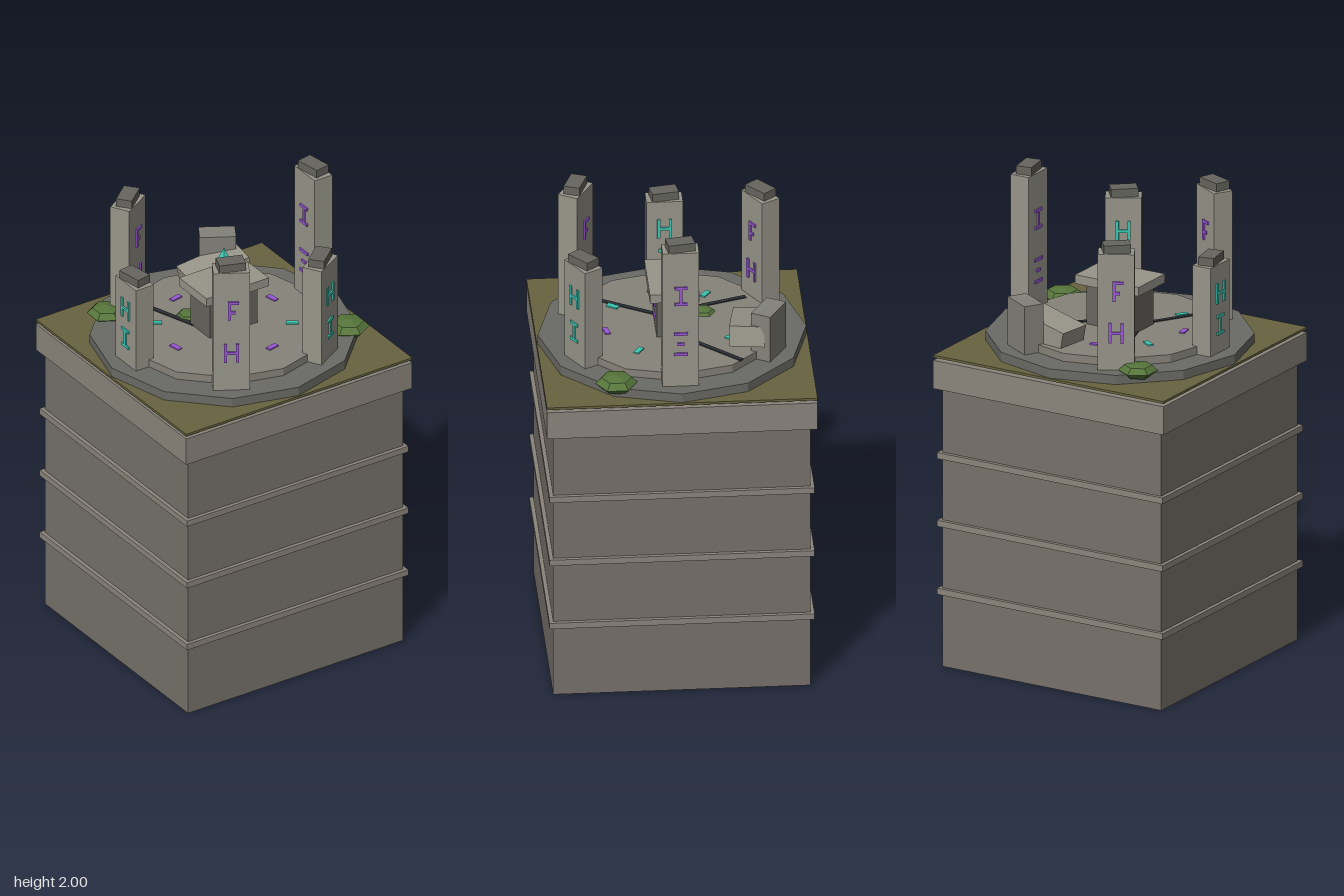
import * as THREE from 'three';

const mat = (color) => new THREE.MeshStandardMaterial({ color, flatShading: true });
const M = {
  wall: mat(0x77716a), trim: mat(0x8b857c), earth: mat(0x68633f), daisOuter: mat(0x6a6a66),
  daisInner: mat(0x87837a), stone: mat(0x98968a), darkStone: mat(0x66655e), stump: mat(0x83827a),
  crack: mat(0x2a2d33), teal: mat(0x3cc8b4), purple: mat(0x9a58d6), bush: mat(0x56753a),
};

function add(parent, name, geometry, material, x = 0, y = 0, z = 0) {
  const mesh = new THREE.Mesh(geometry, material);
  mesh.name = name;
  mesh.position.set(x, y, z);
  parent.add(mesh);
  return mesh;
}

// Box given by its width, depth and vertical range
const slab = (parent, name, w, d, y0, y1, material, x = 0, z = 0) =>
  add(parent, name, new THREE.BoxGeometry(w, y1 - y0, d), material, x, (y0 + y1) / 2, z);

// Carved signs, each a list of bars: x, y, width, height
const T = 0.012;
const SIGNS = {
  posts: [[-0.024, 0, T, 0.085], [0.024, 0, T, 0.085], [0, 0, 0.05, T]],
  beam: [[0, 0.036, 0.05, T], [0, -0.036, 0.05, T], [0, 0, T, 0.08]],
  hook: [[-0.008, 0, T, 0.085], [0.01, 0.036, 0.04, T], [0.004, -0.008, 0.025, T]],
  stack: [[0, 0.046, 0.056, T], [0, 0, 0.028, T], [0, -0.046, 0.056, T]],
};

function sign(parent, kind, material, y, z) {
  const group = new THREE.Group();
  group.name = 'carvedSign';
  group.position.set(0, y, z);
  for (const [x, by, w, h] of SIGNS[kind])
    add(group, 'signBar', new THREE.BoxGeometry(w, h, 0.012), material, x, by, 0);
  parent.add(group);
}

// Standing stone facing outward, signs on both broad faces
function standingStone(parent, degrees, top, kinds, glow) {
  const a = THREE.MathUtils.degToRad(degrees), base = 1.36, bodyTop = top - 0.035;
  const stone = new THREE.Group();
  stone.name = 'standingStone';
  stone.position.set(0.43 * Math.cos(a), 0, 0.43 * Math.sin(a));
  stone.rotation.y = Math.PI / 2 - a;
  slab(stone, 'stoneShaft', 0.147, 0.085, base, bodyTop, M.stone);
  slab(stone, 'stoneCap', 0.11, 0.066, bodyTop, top, M.darkStone).rotation.y = 0.17;
  for (const turn of [0, Math.PI]) {
    const face = new THREE.Group();
    face.name = 'stoneFace';
    face.rotation.y = turn;
    kinds.forEach((kind, i) =>
      sign(face, kind, glow, base + (bodyTop - base) * (i ? 0.32 : 0.68), 0.043));
    stone.add(face);
  }
  parent.add(stone);
}

export function createModel() {
  const model = new THREE.Group();
  model.name = 'stoneCircleTower';

  // Tower block with bands and cornice
  slab(model, 'towerBlock', 1.034, 1.034, 0, 1.18, M.wall);
  for (const y of [0.32, 0.608, 0.895])
    slab(model, 'towerBand', 1.066, 1.066, y - 0.013, y + 0.013, M.trim);
  slab(model, 'cornice', 1.088, 1.088, 1.18, 1.3, M.trim);
  slab(model, 'earthLayer', 1.088, 1.088, 1.312, 1.322, M.earth);

  // Two-step dais
  add(model, 'daisLower', new THREE.CylinderGeometry(0.54, 0.54, 0.04, 12), M.daisOuter, 0, 1.341, 0);
  add(model, 'daisUpper', new THREE.CylinderGeometry(0.43, 0.43, 0.035, 12), M.daisInner, 0, 1.377, 0);

  // Cracks in the floor
  const cracks = [
    [0.335, -0.255, 0.1, -0.01], [-0.195, -0.31, -0.1, -0.03], [-0.23, 0.31, -0.06, 0.03],
  ];
  for (const [x0, z0, x1, z1] of cracks) {
    const crack = slab(model, 'floorCrack', Math.hypot(x1 - x0, z1 - z0), 0.02, 1.39, 1.398,
      M.crack, (x0 + x1) / 2, (z0 + z1) / 2);
    crack.rotation.y = -Math.atan2(z1 - z0, x1 - x0);
  }

  // Ring of inlaid floor tiles
  for (let i = 0; i < 8; i++) {
    const a = THREE.MathUtils.degToRad(-11.4 + 45 * i), odd = i % 2;
    const tile = slab(model, 'floorTile', 0.05, 0.022, 1.39, 1.4, odd ? M.teal : M.purple,
      0.273 * Math.cos(a), 0.273 * Math.sin(a));
    tile.rotation.y = odd ? -a : Math.PI / 2 - a;
  }

  // Altar with floating crystal
  slab(model, 'altarBase', 0.23, 0.14, 1.39, 1.567, M.darkStone);
  slab(model, 'altarTop', 0.3, 0.2, 1.567, 1.605, M.stone);
  sign(model, 'stack', M.purple, 1.483, 0.07);
  const half = new THREE.ConeGeometry(0.039, 0.07, 5, 1, true);
  half.rotateY(Math.PI);
  add(model, 'crystalTop', half, M.teal, 0, 1.71, 0);
  const lower = half.clone().rotateZ(Math.PI);
  add(model, 'crystalBottom', lower, M.teal, 0, 1.64, 0);

  // Standing stones
  standingStone(model, 0, 2.0, ['beam', 'stack'], M.purple);
  standingStone(model, 60, 1.83, ['posts', 'beam'], M.teal);
  standingStone(model, 120, 1.94, ['hook', 'posts'], M.purple);
  standingStone(model, 180, 1.77, ['posts', 'beam'], M.teal);
  standingStone(model, 240, 1.885, ['hook', 'posts'], M.purple);

  // Broken stone: stump and fallen half
  const stump = slab(model, 'brokenStump', 0.147, 0.085, 1.36, 1.565, M.stump, 0.215, -0.372);
  stump.rotation.y = Math.PI / 2 + Math.PI / 3;
  const fallen = add(model, 'fallenStone', new THREE.BoxGeometry(0.26, 0.085, 0.143), M.stone,
    0.152, 1.444, -0.297);
  fallen.rotation.set(0, -0.14, 0.2);

  // Bushes
  for (const [x, y, z, r] of [
    [-0.318, 1.365, -0.373, 0.079], [0.43, 1.365, 0.256, 0.085], [-0.085, 1.39, -0.13, 0.055],
  ]) {
    const bush = add(model, 'bush', new THREE.SphereGeometry(r, 6, 4), M.bush, x, y, z);
    bush.scale.y = 0.4;
    bush.rotation.y = Math.PI / 6;
  }
  return model;
}
